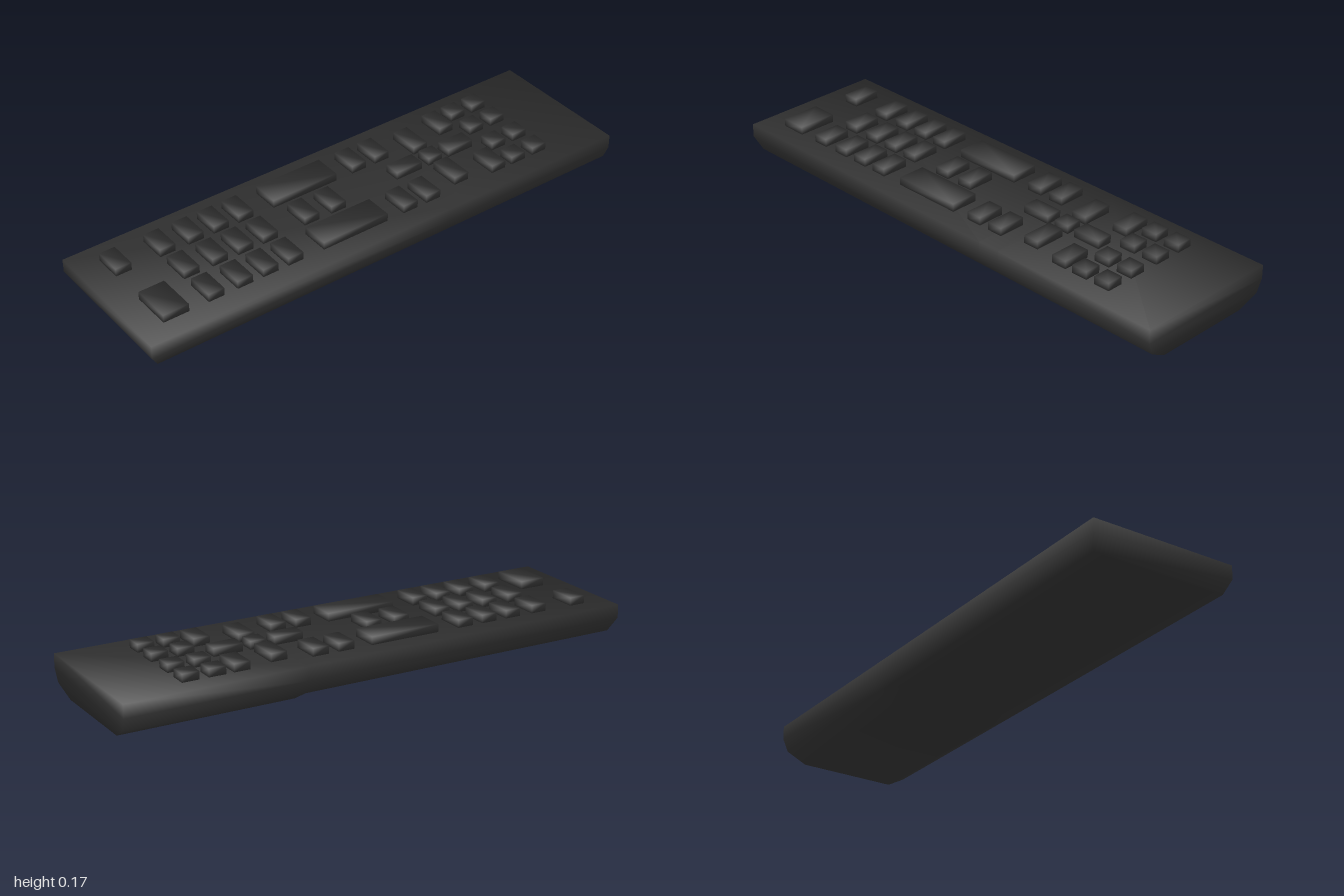
import * as THREE from 'three';
import { mergeVertices } from 'three/addons/utils/BufferGeometryUtils.js';

const TOP = 0.143, RISE = 0.03;

// Angle-weighted vertex normals, so shading rolls evenly over shared corners
function smoothNormals(geometry) {
  const { position } = geometry.attributes;
  const index = geometry.index.array;
  const normals = Array.from({ length: position.count }, () => new THREE.Vector3());
  for (let t = 0; t < index.length; t += 3) {
    const ids = [index[t], index[t + 1], index[t + 2]];
    const points = ids.map((id) => new THREE.Vector3().fromBufferAttribute(position, id));
    const normal = new THREE.Triangle(...points).getNormal(new THREE.Vector3());
    ids.forEach((id, k) => {
      const toNext = points[(k + 1) % 3].clone().sub(points[k]);
      const toPrevious = points[(k + 2) % 3].clone().sub(points[k]);
      normals[id].addScaledVector(normal, toNext.angleTo(toPrevious));
    });
  }
  const values = normals.flatMap((v) => v.normalize().toArray());
  geometry.setAttribute('normal', new THREE.Float32BufferAttribute(values, 3));
  return geometry;
}

// Half outline of one body section, top edge to underside: [x, y, z]
const section = (zTop, zLow, zBottom, yBottom) => [
  [0.283, TOP, zTop], [0.283, 0.092, zTop], [0.263, 0.042, zLow], [0.19, yBottom, zBottom],
];

// Loft mirrored sections from front to back, closed at both ends
function bodyGeometry() {
  const sections = [
    section(1, 0.97, 0.97, 0.042),
    section(-0.23, -0.23, -0.23, 0.042),
    section(-0.32, -0.32, -0.32, 0),
    section(-1, -0.997, -0.985, 0),
  ];
  const positions = [], index = [];
  for (const half of sections) {
    const mirrored = half.map(([x, y, z]) => [-x, y, z]).reverse();
    for (const p of [...half, ...mirrored]) positions.push(...p);
  }
  const quad = (a, b, c, d) => index.push(a, b, c, a, c, d);
  const n = 8, last = (sections.length - 1) * n;
  for (let s = 0; s < last; s += n) {
    for (let i = 0; i < n; i++) {
      const j = (i + 1) % n;
      quad(s + i, s + j, s + n + j, s + n + i);
    }
  }
  for (let i = 0; i < 3; i++) {
    const a = i, b = i + 1, c = n - 2 - i, d = n - 1 - i;
    quad(a, d, c, b);
    quad(last + a, last + b, last + c, last + d);
  }
  const geometry = new THREE.BufferGeometry();
  geometry.setAttribute('position', new THREE.Float32BufferAttribute(positions, 3));
  geometry.setIndex(index);
  return smoothNormals(geometry);
}

// Box with shared corners
function softBox(w, h, d) {
  const box = new THREE.BoxGeometry(w, h, d);
  box.deleteAttribute('uv');
  box.deleteAttribute('normal');
  return smoothNormals(mergeVertices(box));
}

export function createModel() {
  const remote = new THREE.Group();
  remote.name = 'remoteControl';
  const material = new THREE.MeshStandardMaterial({ color: 0x333333 });

  const body = new THREE.Mesh(bodyGeometry(), material);
  body.name = 'body';
  remote.add(body);

  const addGroup = (name) => {
    const group = new THREE.Group();
    group.name = name;
    remote.add(group);
    return group;
  };
  const addButton = (group, name, x, z, w = 0.108, d = 0.062) => {
    const button = new THREE.Mesh(softBox(w, RISE, d), material);
    button.name = name;
    button.position.set(x, TOP + RISE / 2, z);
    group.add(button);
  };

  // Two rows of small square keys
  const small = addGroup('smallButtons');
  for (const z of [-0.719, -0.62])
    for (const x of [-0.173, -0.063, 0.063, 0.173]) addButton(small, 'smallButton', x, z, 0.063, 0.064);

  // Side keys around the direction pad
  const side = addGroup('sideButtons');
  for (const z of [-0.527, -0.224, -0.122])
    for (const x of [-0.15, 0.15]) addButton(side, 'sideButton', x, z);

  // Direction pad
  const pad = addGroup('directionPad');
  addButton(pad, 'upButton', 0, -0.49, 0.062, 0.112);
  addButton(pad, 'downButton', 0, -0.253, 0.062, 0.114);
  addButton(pad, 'leftButton', -0.118, -0.373, 0.122);
  addButton(pad, 'rightButton', 0.118, -0.373, 0.122);
  addButton(pad, 'selectButton', 0, -0.373, 0.062);

  // Long rockers with two keys between them
  const rockers = addGroup('rockers');
  for (const x of [-0.15, 0.15]) addButton(rockers, 'rocker', x, 0.118, 0.108, 0.275);
  for (const z of [0.082, 0.197]) addButton(rockers, 'middleButton', 0, z);

  // Number keys
  const keypad = addGroup('keypad');
  for (const z of [0.373, 0.476, 0.58, 0.695])
    for (const x of [-0.15, 0, 0.15]) addButton(keypad, 'numberButton', x, z);

  // Bottom pair
  const bottom = addGroup('bottomButtons');
  addButton(bottom, 'bottomSmallButton', -0.15, 0.87);
  addButton(bottom, 'bottomLargeButton', 0.128, 0.853, 0.152, 0.1);

  return remote;
}
